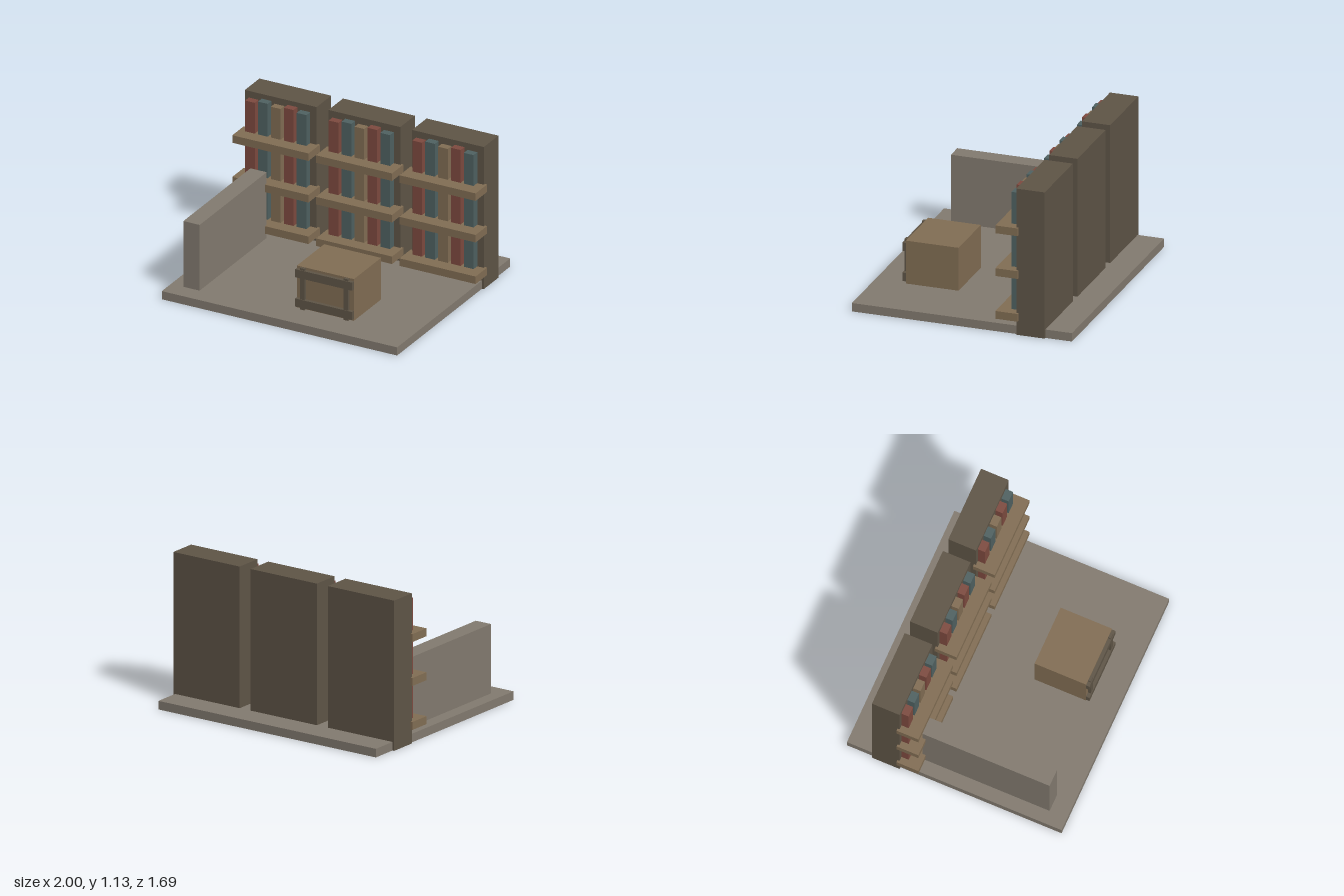
import * as THREE from 'three';

const material = (name, color) => Object.assign(new THREE.MeshStandardMaterial({ color }), { name });

export function createModel() {
  const stone = material('stone', 0x827a6f);
  const darkWood = material('darkWood', 0x5e5446);
  const wood = material('wood', 0x816d53);
  const red = material('redCover', 0x7d4a3f);
  const teal = material('tealCover', 0x4f6161);

  // Box given by its extents along each axis
  const box = (parent, name, mat, [x0, x1], [y0, y1], [z0, z1]) => {
    const mesh = new THREE.Mesh(new THREE.BoxGeometry(x1 - x0, y1 - y0, z1 - z0), mat);
    mesh.position.set((x0 + x1) / 2, (y0 + y1) / 2, (z0 + z1) / 2);
    mesh.name = name;
    parent.add(mesh);
  };
  const group = (parent, name, x = 0) => {
    const g = new THREE.Group();
    g.name = name;
    g.position.x = x;
    parent.add(g);
    return g;
  };

  const model = new THREE.Group();
  model.name = 'library';

  // Floor slab and low side wall
  box(model, 'floor', stone, [-0.967, 0.967], [0, 0.065], [-0.843, 0.843]);
  box(model, 'lowWall', stone, [-0.866, -0.732], [0.06, 0.59], [-0.295, 0.705]);

  // Three bookcases, each with three shelves of five books
  const covers = [red, teal, wood, red, teal];
  for (const x of [-0.687, 0, 0.687]) {
    const bookcase = group(model, 'bookcase', x);
    box(bookcase, 'caseBack', darkWood, [-0.295, 0.295], [0, 1.135], [-0.64, -0.423]);
    for (const y of [0.11, 0.442, 0.774]) {
      box(bookcase, 'shelf', wood, [-0.313, 0.313], [y, y + 0.06], [-0.439, -0.268]);
      covers.forEach((cover, i) => {
        const bx = -0.222 + i * 0.106;
        const height = i % 2 ? 0.262 : 0.246;
        box(bookcase, 'book', cover, [bx - 0.04, bx + 0.04], [y + 0.062, y + 0.062 + height], [-0.43, -0.366]);
      });
    }
  }

  // Crate with a dark frame on its front
  const crate = group(model, 'crate', 0.248);
  box(crate, 'crateBody', wood, [-0.234, 0.234], [0.06, 0.398], [0.203, 0.607]);
  for (const y of [0.082, 0.316]) {
    box(crate, 'crateRail', darkWood, [-0.234, 0.234], [y, y + 0.064], [0.604, 0.634]);
  }
  for (const x of [-0.18, 0.18]) {
    box(crate, 'cratePost', darkWood, [x - 0.018, x + 0.018], [0.062, 0.396], [0.604, 0.629]);
  }

  return model;
}
